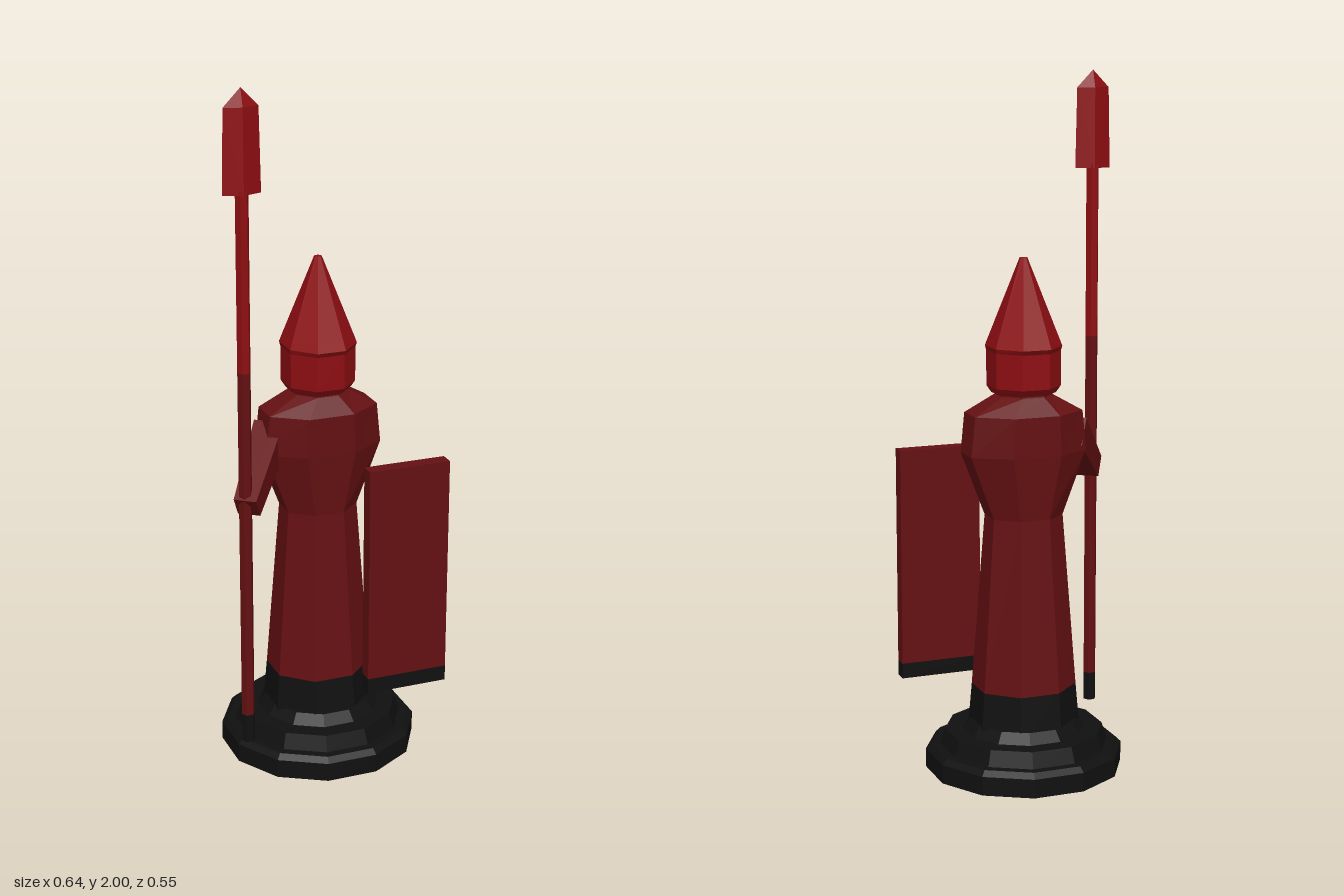
import * as THREE from 'three';

const mat = (name, color) => {
  const m = new THREE.MeshStandardMaterial({ color });
  m.name = name;
  return m;
};

// Faceted copy of a geometry
const facet = (g) => {
  const f = g.index ? g.toNonIndexed() : g;
  f.computeVertexNormals();
  return f;
};

// Faceted stack of [halfX, halfZ, y] rings, flats facing the axes
function rings(sides, list) {
  const pos = [], k = 1 / Math.cos(Math.PI / sides);
  const corner = ([hx, hz, y], i) => {
    const a = ((i + 0.5) / sides) * Math.PI * 2;
    return [hx * k * Math.sin(a), y, hz * k * Math.cos(a)];
  };
  const first = list[0], last = list[list.length - 1];
  const all = [[0, 0, first[2]], ...list, [0, 0, last[2]]];
  for (let r = 0; r < all.length - 1; r++) {
    for (let i = 0; i < sides; i++) {
      const a = corner(all[r], i), b = corner(all[r], i + 1);
      const c = corner(all[r + 1], i + 1), d = corner(all[r + 1], i);
      if (r > 0) pos.push(...a, ...b, ...c);
      if (r < all.length - 2) pos.push(...a, ...c, ...d);
    }
  }
  // close the bottom cap, whose first triangle collapses at the centre
  const g = new THREE.BufferGeometry();
  g.setAttribute('position', new THREE.Float32BufferAttribute(pos, 3));
  g.computeVertexNormals();
  return g;
}

export function createModel() {
  const model = new THREE.Group();
  model.name = 'spearGuard';
  const black = mat('black', 0x101010);
  const darkRed = mat('dark red', 0x651012);
  const red = mat('bright red', 0x8e0e12);

  const add = (name, geometry, material, x = 0, y = 0, z = 0, parent = model) => {
    const m = new THREE.Mesh(geometry, material);
    m.name = name;
    m.position.set(x, y, z);
    parent.add(m);
    return m;
  };
  const cx = 0.01;

  // Stepped round pedestal
  add('pedestal', rings(12, [
    [0.277, 0.277, 0], [0.277, 0.277, 0.055], [0.262, 0.262, 0.07], [0.237, 0.237, 0.07],
    [0.222, 0.222, 0.115], [0.172, 0.172, 0.115], [0.15, 0.15, 0.145],
  ]), black, cx);

  // Robe with dark hem
  add('robeHem', rings(8, [[0.152, 0.142, 0.11], [0.141, 0.131, 0.245]]), black, cx);
  add('robe', rings(8, [
    [0.141, 0.131, 0.245], [0.105, 0.093, 0.75], [0.174, 0.11, 0.935],
    [0.162, 0.112, 1.05], [0.075, 0.08, 1.1], [0.075, 0.075, 1.125],
  ]), darkRed, cx);

  // Helmeted head
  add('helmet', rings(8, [
    [0.085, 0.085, 1.105], [0.097, 0.1, 1.125], [0.097, 0.1, 1.225], [0.1, 0.108, 1.238],
    [0.093, 0.1, 1.258], [0.01, 0.01, 1.487],
  ]), red, cx);

  // Right arm reaching for the spear
  const shoulder = new THREE.Vector3(-0.125, 0.985, -0.015);
  const hand = new THREE.Vector3(-0.263, 0.838, 0.163);
  const arm = new THREE.Group();
  arm.name = 'rightArm';
  arm.position.copy(shoulder);
  arm.lookAt(hand);
  model.add(arm);
  const limb = new THREE.CylinderGeometry(0.046, 0.062, shoulder.distanceTo(hand), 4, 1, false, Math.PI / 4);
  limb.rotateX(Math.PI / 2).translate(0, 0, shoulder.distanceTo(hand) / 2);
  add('sleeve', facet(limb), darkRed, 0, 0, 0, arm);

  // Spear
  const spear = new THREE.Group();
  spear.name = 'spear';
  spear.position.set(-0.265, 0, 0.157);
  model.add(spear);
  const shaft = (name, y0, y1, m) =>
    add(name, facet(new THREE.CylinderGeometry(0.019, 0.019, y1 - y0, 6, 1, false, Math.PI / 6)), m, 0, (y0 + y1) / 2, 0, spear);
  shaft('spearFoot', 0.115, 0.2, black);
  shaft('spearShaftLower', 0.2, 1.23, darkRed);
  shaft('spearShaftUpper', 1.23, 1.73, red);
  // diamond-section blade
  const blade = facet(new THREE.LatheGeometry([
    [0, 1.72], [0.054, 1.72], [0.049, 1.95], [0, 2],
  ].map(([x, y]) => new THREE.Vector2(x, y)), 4));
  blade.scale(1, 1, 0.34);
  blade.computeVertexNormals();
  add('spearBlade', blade, red, 0, 0, 0, spear);

  // Tall flat shield
  add('shield', new THREE.BoxGeometry(0.243, 0.64, 0.042), darkRed, 0.196, 0.6, 0.213);
  add('shieldFoot', new THREE.BoxGeometry(0.243, 0.045, 0.042), black, 0.196, 0.2575, 0.213);

  return model;
}
